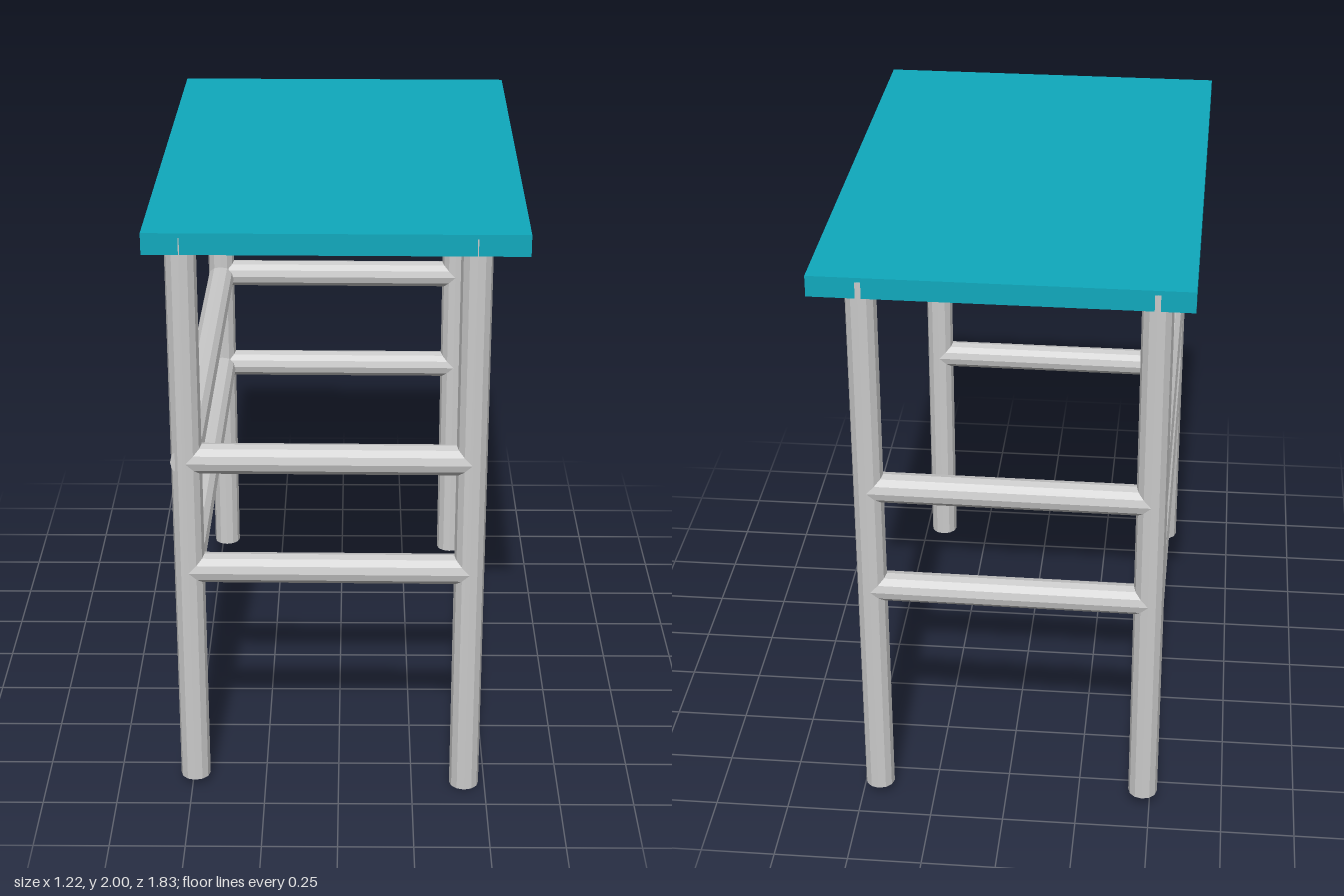
import * as THREE from 'three';

const R = 0.05;
const UP = new THREE.Vector3(0, 1, 0);

export function createModel() {
  const model = new THREE.Group();
  model.name = 'table';

  const grey = new THREE.MeshStandardMaterial({ color: 0xcccccc, flatShading: true });
  const teal = new THREE.MeshStandardMaterial({ color: 0x0fa9bd });

  // The whole table is turned very slightly about the vertical
  const frame = new THREE.Group();
  frame.name = 'frame';
  frame.rotation.y = -0.0083;
  model.add(frame);

  // Round bar between two points
  function bar(name, from, to) {
    const a = new THREE.Vector3(...from);
    const dir = new THREE.Vector3(...to).sub(a);
    const mesh = new THREE.Mesh(new THREE.CylinderGeometry(R, R, dir.length(), 12), grey);
    mesh.name = name;
    mesh.position.copy(a).addScaledVector(dir, 0.5);
    mesh.quaternion.setFromUnitVectors(UP, dir.normalize());
    frame.add(mesh);
  }

  // Tabletop slab
  const top = new THREE.Mesh(new THREE.BoxGeometry(1.2, 0.07, 1.815), teal);
  top.name = 'tabletop';
  top.position.y = 1.965;
  frame.add(top);

  // Legs, each ending at a slightly different height
  const xR = -0.483, xL = 0.437, zF = 0.858, zB = -0.86;
  bar('frontLeftLeg', [xL, 0, zF], [xL, 1.985, zF]);
  bar('frontRightLeg', [xR, 0.03, zF], [xR, 1.985, zF]);
  bar('backLeftLeg', [xL, 0.03, zB], [xL, 1.985, zB]);
  bar('backRightLeg', [xR, 0.055, zB], [xR, 1.985, zB]);

  // Rails on three sides; the left side stays open
  const rails = [
    { label: 'lower', front: 0.825, back: 0.848, side: 0.838, end: zF },
    { label: 'upper', front: 1.22, back: 1.23, side: 1.22, end: zF + 0.034 },
  ];
  for (const { label, front, back, side, end } of rails) {
    bar(label + 'FrontRail', [xR, front, zF], [xL, front, zF]);
    bar(label + 'BackRail', [xR, back, zB], [xL, back, zB]);
    bar(label + 'SideRail', [xR, side, zB], [xR, side, end]);
  }

  return model;
}
